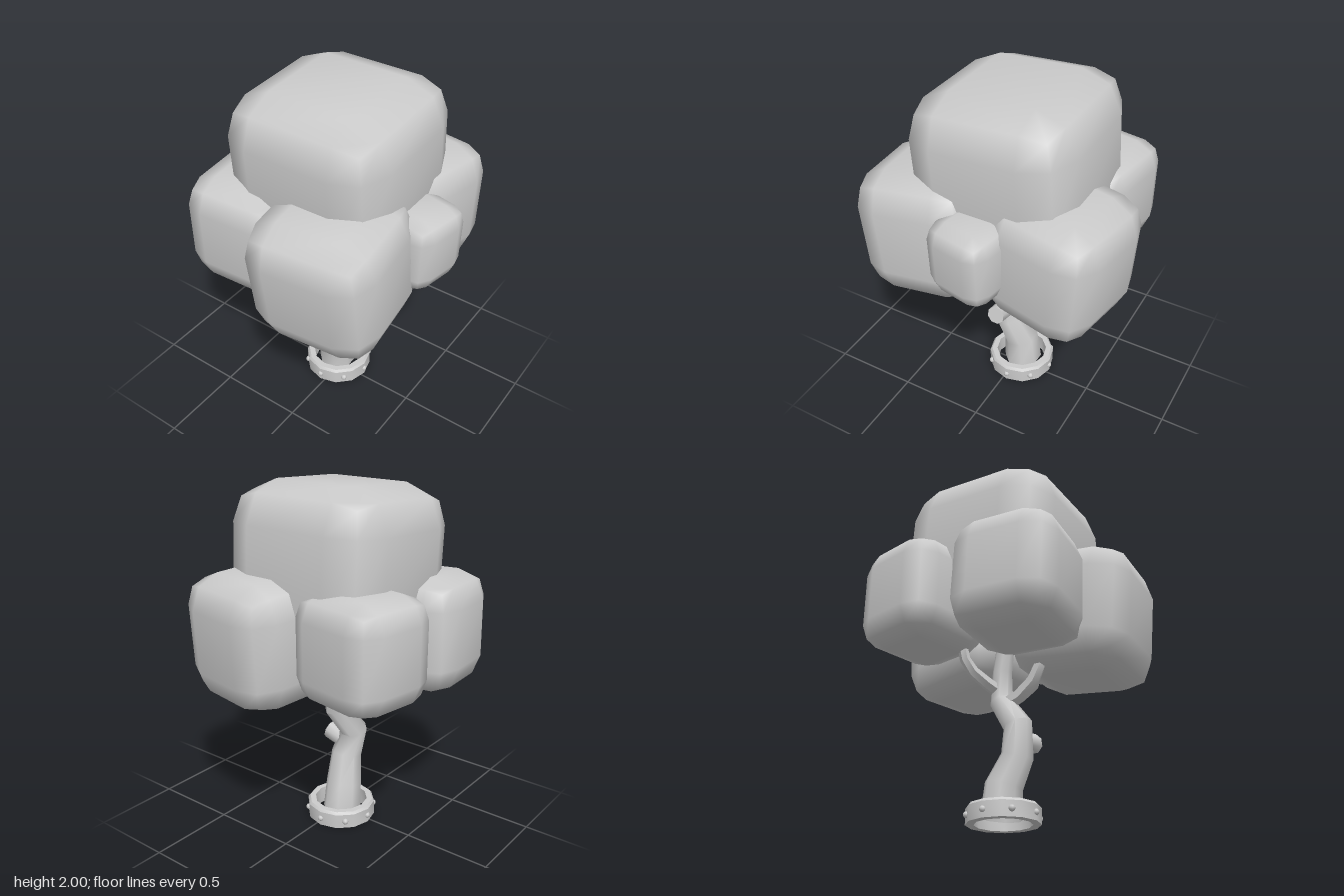
import * as THREE from 'three';
import { mergeVertices, toCreasedNormals } from 'three/addons/utils/BufferGeometryUtils.js';
import { RoundedBoxGeometry } from 'three/addons/geometries/RoundedBoxGeometry.js';

const grey = new THREE.MeshStandardMaterial({ color: 0xcccccc });
const greyDouble = new THREE.MeshStandardMaterial({ color: 0xcccccc, side: THREE.DoubleSide });

function addMesh(parent, name, geometry, material = grey) {
  const mesh = new THREE.Mesh(geometry, material);
  mesh.name = name;
  parent.add(mesh);
  return mesh;
}

// Chunky bevelled box with soft, averaged normals
function leafBlock(w, h, d) {
  let g = new RoundedBoxGeometry(w, h, d, 1, Math.min(w, h, d) * 0.26);
  g.deleteAttribute('normal');
  g.deleteAttribute('uv');
  g = mergeVertices(g, 1e-4);
  g.computeVertexNormals();
  return g;
}

// Limb lofted through rings; each ring is [x, y, z, radius]
function limb(rings, sides, ref) {
  const pts = rings.map(([x, y, z]) => new THREE.Vector3(x, y, z));
  const pos = [], index = [];
  rings.forEach((ring, i) => {
    const tangent = pts[Math.min(i + 1, pts.length - 1)].clone().sub(pts[Math.max(i - 1, 0)]).normalize();
    const u = ref.clone().addScaledVector(tangent, -ref.dot(tangent)).normalize();
    const v = new THREE.Vector3().crossVectors(tangent, u);
    for (let j = 0; j < sides; j++) {
      const a = ((j + 0.5) / sides) * Math.PI * 2;
      const p = pts[i].clone().addScaledVector(u, Math.cos(a) * ring[3]).addScaledVector(v, Math.sin(a) * ring[3]);
      pos.push(p.x, p.y, p.z);
      if (i === 0) continue;
      const k = (j + 1) % sides, lo = (i - 1) * sides, hi = i * sides;
      index.push(lo + j, lo + k, hi + k, lo + j, hi + k, hi + j);
    }
  });
  // Flat cap on the far end
  const end = (rings.length - 1) * sides;
  for (let j = 1; j < sides - 1; j++) index.push(end, end + j, end + j + 1);
  const g = new THREE.BufferGeometry();
  g.setAttribute('position', new THREE.Float32BufferAttribute(pos, 3));
  g.setIndex(index);
  return toCreasedNormals(g, 1.0);
}

export function createModel() {
  const model = new THREE.Group();
  model.name = 'tree';

  // Canopy: name, size, centre, rotation
  const canopy = new THREE.Group();
  canopy.name = 'canopy';
  model.add(canopy);
  const blocks = [
    ['topFoliage', [0.95, 0.87, 0.93], [-0.01, 1.55, -0.02], [0.06, 0, 0]],
    ['frontLeftFoliage', [0.73, 0.73, 0.70], [0.215, 1.167, 0.367], [0.11, 0.08, 0.02]],
    ['backLeftFoliage', [0.67, 0.70, 0.67], [0.215, 1.187, -0.385], [-0.06, -0.17, 0]],
    ['frontRightFoliage', [0.61, 0.64, 0.60], [-0.36, 1.175, 0.278], [0.03, 0.08, -0.03]],
    ['backRightFoliage', [0.57, 0.59, 0.53], [-0.39, 1.215, -0.325], [0, -0.17, 0]],
    ['sideFoliage', [0.38, 0.43, 0.38], [0.485, 1.228, -0.022], [0, -0.19, -0.03]],
  ];
  for (const [name, size, centre, rotation] of blocks) {
    const block = addMesh(canopy, name, leafBlock(...size));
    block.position.set(...centre);
    block.rotation.set(...rotation);
  }

  // Crooked trunk
  const wood = new THREE.Group();
  wood.name = 'wood';
  model.add(wood);
  const X = new THREE.Vector3(1, 0, 0), Z = new THREE.Vector3(0, 0, 1);
  addMesh(wood, 'trunk', limb([
    [-0.04, 0.03, -0.03, 0.115],
    [-0.04, 0.2, -0.015, 0.105],
    [-0.01, 0.36, 0.05, 0.09],
    [-0.045, 0.52, 0.075, 0.08],
    [-0.01, 0.69, -0.05, 0.066],
    [-0.02, 0.86, -0.04, 0.055],
    [-0.03, 1.1, 0.0, 0.05],
  ], 8, X), greyDouble);

  // Branches and the cut stub
  addMesh(wood, 'frontBranch', limb([
    [-0.015, 0.66, -0.04, 0.045],
    [-0.015, 0.7, 0.07, 0.042],
    [-0.02, 0.77, 0.16, 0.038],
    [-0.03, 0.85, 0.21, 0.034],
    [-0.03, 0.95, 0.22, 0.03],
  ], 6, X));
  addMesh(wood, 'backBranch', limb([
    [-0.01, 0.74, -0.05, 0.04],
    [-0.1, 0.78, -0.09, 0.036],
    [-0.18, 0.83, -0.13, 0.033],
    [-0.23, 0.89, -0.15, 0.03],
    [-0.25, 0.98, -0.16, 0.028],
  ], 6, Z));
  addMesh(wood, 'stub', limb([
    [-0.03, 0.425, 0.07, 0.06],
    [0.13, 0.465, 0.07, 0.056],
  ], 8, Z));

  // Riveted ring around the foot
  const base = new THREE.Group();
  base.name = 'base';
  base.position.set(-0.028, 0, -0.025);
  model.add(base);
  const profile = [[0.155, 0], [0.2, 0], [0.2, 0.085], [0.188, 0.1], [0.155, 0.1], [0.155, 0]]
    .map(([x, y]) => new THREE.Vector2(x, y));
  addMesh(base, 'ring', toCreasedNormals(new THREE.LatheGeometry(profile, 12), 0.65), greyDouble);
  for (let i = 0; i < 8; i++) {
    const a = (i / 8) * Math.PI * 2;
    const rivet = addMesh(base, 'rivet', new THREE.SphereGeometry(0.018, 8, 6));
    rivet.position.set(Math.sin(a) * 0.195, 0.043, Math.cos(a) * 0.195);
  }
  return model;
}
